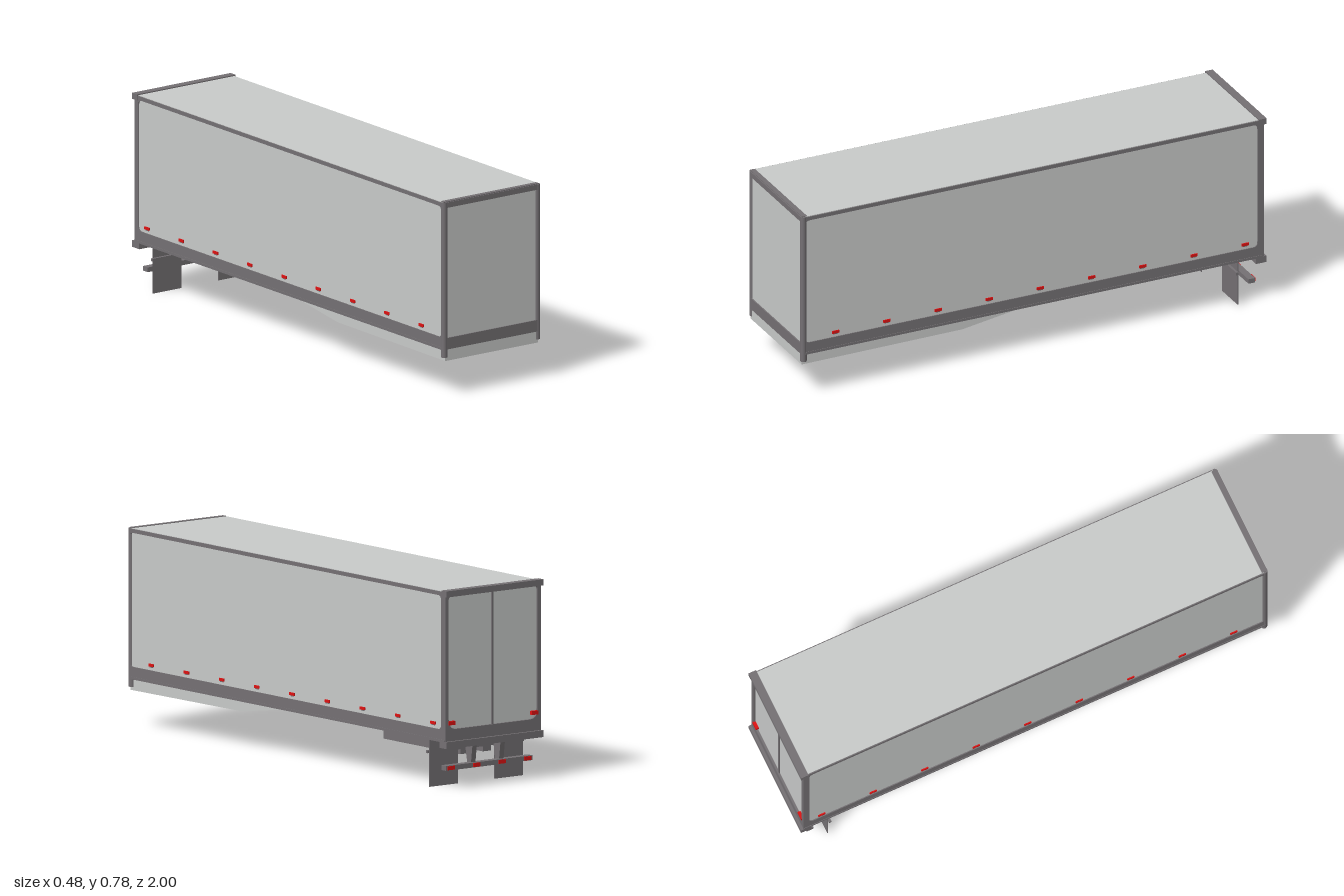
import * as THREE from 'three';

const light = new THREE.MeshStandardMaterial({ color: 0xc9cbca });
light.name = 'lightPanel';
const dark = new THREE.MeshStandardMaterial({ color: 0x757174 });
dark.name = 'darkFrame';
const red = new THREE.MeshStandardMaterial({ color: 0xe01212 });
red.name = 'redLamp';

export function createModel() {
  const root = new THREE.Group();
  root.name = 'boxTrailer';

  const add = (name, geometry, material) => {
    const m = new THREE.Mesh(geometry, material);
    m.name = name;
    root.add(m);
    return m;
  };

  // Box given by its limits on each axis
  const box = (name, material, x0, x1, y0, y1, z0, z1) => {
    const m = add(name, new THREE.BoxGeometry(x1 - x0, y1 - y0, z1 - z0), material);
    m.position.set((x0 + x1) / 2, (y0 + y1) / 2, (z0 + z1) / 2);
    return m;
  };

  // Side profile of [z, y] points, extruded across x
  const profile = (name, material, pts, x0, x1) => {
    const shape = new THREE.Shape(pts.map(p => new THREE.Vector2(...p)));
    const g = new THREE.ExtrudeGeometry(shape, { depth: x1 - x0, bevelEnabled: false });
    g.rotateY(-Math.PI / 2).translate(x1, 0, 0);
    return add(name, g, material);
  };

  // Flat frame with a rounded opening; low = radius of the lower corners
  const frameGeometry = (a0, a1, y0, y1, h0, h1, v0, v1, r, low, depth) => {
    const s = new THREE.Shape();
    s.moveTo(a0, y0).lineTo(a1, y0).lineTo(a1, y1).lineTo(a0, y1).closePath();
    const h = new THREE.Path();
    h.moveTo(h0 + low, v0).lineTo(h1 - low, v0);
    h.quadraticCurveTo(h1, v0, h1, v0 + low).lineTo(h1, v1 - r);
    h.quadraticCurveTo(h1, v1, h1 - r, v1).lineTo(h0 + r, v1);
    h.quadraticCurveTo(h0, v1, h0, v1 - r).lineTo(h0, v0 + low);
    h.quadraticCurveTo(h0, v0, h0 + low, v0);
    s.holes.push(h);
    return new THREE.ExtrudeGeometry(s, { depth, bevelEnabled: false, curveSegments: 6 });
  };

  // Cargo box with cut front corners, seen in plan and raised
  const w = 0.232, c = 0.012;
  const plan = new THREE.Shape([
    [-w, 0.98], [w, 0.98], [w, -0.991 + c], [w - c, -0.991], [-w + c, -0.991], [-w, -0.991 + c],
  ].map(p => new THREE.Vector2(...p)));
  const cargo = new THREE.ExtrudeGeometry(plan, { depth: 0.589, bevelEnabled: false });
  cargo.rotateX(-Math.PI / 2).translate(0, 0.188, 0);
  add('cargoBox', cargo, light);

  // Side frames: top rail, bottom rail and posts in one
  for (const s of [-1, 1]) {
    const g = frameGeometry(-0.984, 0.984, 0.188, 0.775, -0.963, 0.981, 0.235, 0.76, 0.02, 0.02, 0.005);
    g.rotateY(-Math.PI / 2).translate(s > 0 ? 0.236 : -0.231, 0, 0);
    add('sideFrame', g, dark);
    box('bottomRailLip', dark, s * 0.2345 - 0.0035, s * 0.2345 + 0.0035, 0.186, 0.196, -0.984, 0.984);
  }

  // Front frame, corner posts and roof edge
  const front = frameGeometry(-0.224, 0.224, 0.187, 0.776, -0.222, 0.222, 0.233, 0.755, 0.004, 0.004, 0.006);
  front.translate(0, 0, 0.99);
  add('frontFrame', front, dark);
  for (const s of [-1, 1]) {
    const post = add('frontPost', new THREE.CylinderGeometry(0.013, 0.013, 0.621, 16), dark);
    post.position.set(s * 0.224, 0.4655, 0.984);
  }
  box('frontRoofEdge', dark, -0.23, 0.23, 0.77, 0.779, 0.972, 0.992);

  // Rear frame, doors' seam, header and sill
  const rear = frameGeometry(-0.236, 0.236, 0.187, 0.776, -0.219, 0.219, 0.236, 0.756, 0.012, 0.04, 0.012);
  rear.translate(0, 0, -0.989);
  add('rearFrame', rear, dark);
  box('doorSeam', dark, -0.004, 0.004, 0.23, 0.76, -0.985, -0.979);
  box('rearHeader', dark, -0.239, 0.239, 0.757, 0.781, -1, -0.968);
  box('rearSill', dark, -0.238, 0.238, 0.163, 0.19, -1, -0.955);

  // Deep front belly tapering up to the floor
  profile('belly', light, [[0.992, 0.19], [0.992, 0.141], [0.3, 0.145], [0, 0.19]], -0.225, 0.225);

  for (const s of [-1, 1]) {
    const x = (a, b) => (s > 0 ? [a, b] : [-b, -a]);

    // Chassis beam: web and flange, then the deeper bogie rail
    box('chassisWeb', dark, ...x(0.051, 0.059), 0.15, 0.19, -0.41, 0.3);
    box('chassisFlange', dark, ...x(0.04, 0.07), 0.148, 0.154, -0.41, 0.3);
    box('bogieRail', dark, ...x(0.035, 0.075), 0.112, 0.19, -0.88, -0.4);

    // Mudflap
    box('mudflap', dark, ...x(0.09, 0.229), 0, 0.19, -0.883, -0.88);

    // Bumper bracket
    profile('bumperBracket', dark,
      [[-0.905, 0.19], [-0.918, 0.14], [-0.93, 0.075], [-0.95, 0.075], [-0.965, 0.19]], ...x(0.058, 0.08));
  }
  box('mudflapHanger', dark, -0.237, 0.237, 0.132, 0.143, -0.88, -0.87);
  box('bumperBar', dark, -0.212, 0.212, 0.071, 0.09, -0.964, -0.935);

  // Bumper lamps
  for (const x of [-0.188, -0.063, 0.063, 0.188]) {
    box('bumperLamp', red, x - 0.017, x + 0.017, 0.073, 0.088, -0.968, -0.962);
  }

  // Side marker lamps and rear lamps, each on a dark base
  for (const s of [-1, 1]) {
    for (let i = 0; i < 9; i++) {
      const z = 0.85 - i * 0.22;
      box('markerBase', dark, s * 0.2325 - 0.002, s * 0.2325 + 0.002, 0.246, 0.25, z - 0.01, z + 0.01);
      box('markerLamp', red, s * 0.2335 - 0.003, s * 0.2335 + 0.003, 0.25, 0.261, z - 0.015, z + 0.015);
    }
    box('rearLamp', red, s * 0.205 - 0.016, s * 0.205 + 0.016, 0.253, 0.268, -0.992, -0.979);
  }

  return root;
}
